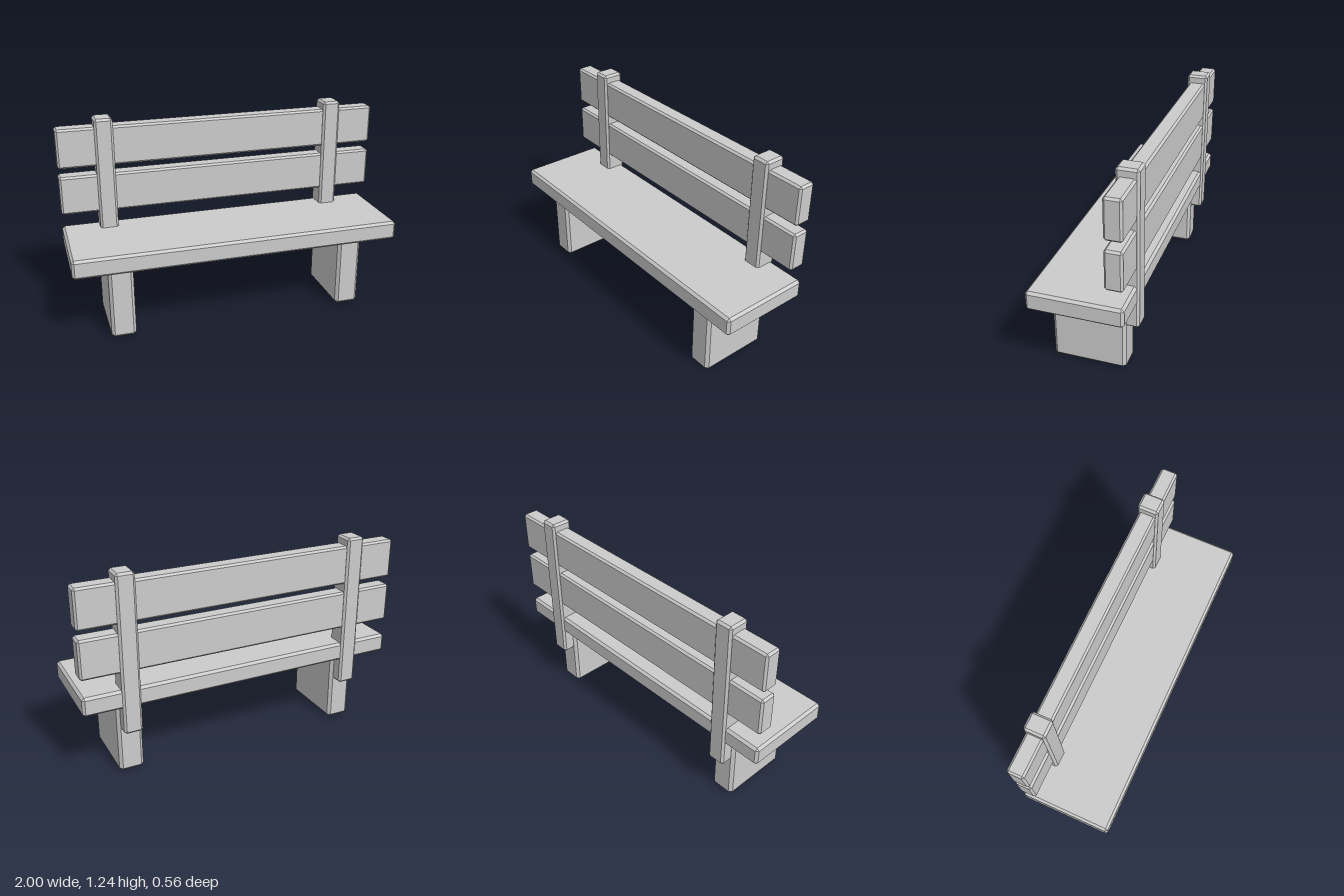
import * as THREE from 'three';
import { ConvexGeometry } from 'three/addons/geometries/ConvexGeometry.js';

// Box from min/max ranges with every edge chamfered by c
function chamferedBox([x0, x1], [y0, y1], [z0, z1], c) {
  const h = [(x1 - x0) / 2, (y1 - y0) / 2, (z1 - z0) / 2];
  const points = [];
  for (const sx of [-1, 1]) for (const sy of [-1, 1]) for (const sz of [-1, 1]) {
    // each corner becomes three points, one on each neighbouring face
    for (let face = 0; face < 3; face++) {
      const p = h.map((v, axis) => (axis === face ? v : v - c));
      points.push(new THREE.Vector3(sx * p[0], sy * p[1], sz * p[2]));
    }
  }
  return new ConvexGeometry(points).translate((x0 + x1) / 2, (y0 + y1) / 2, (z0 + z1) / 2);
}

export function createModel() {
  const bench = new THREE.Group();
  bench.name = 'bench';
  const grey = new THREE.MeshStandardMaterial({ color: 0xcccccc });
  grey.name = 'light grey';

  const add = (name, x, y, z, c) => {
    const mesh = new THREE.Mesh(chamferedBox(x, y, z, c), grey);
    mesh.name = name;
    bench.add(mesh);
  };

  // Seat board and the two backrest boards
  add('seat', [-1, 1], [0.442, 0.558], [-0.267, 0.28], 0.015);
  add('lowerBackBoard', [-1, 1], [0.662, 0.898], [-0.265, -0.164], 0.012);
  add('upperBackBoard', [-1, 1], [0.95, 1.188], [-0.265, -0.164], 0.012);

  // Slab legs and back posts, mirrored left and right
  for (const [side, s] of [['left', 1], ['right', -1]]) {
    const x = 0.72 * s;
    add(side + 'Leg', [x - 0.074, x + 0.074], [0, 0.5], [-0.208, 0.221], 0.018);
    add(side + 'Post', [x - 0.055, x + 0.055], [0.283, 1.237], [-0.279, -0.15], 0.013);
  }
  return bench;
}
